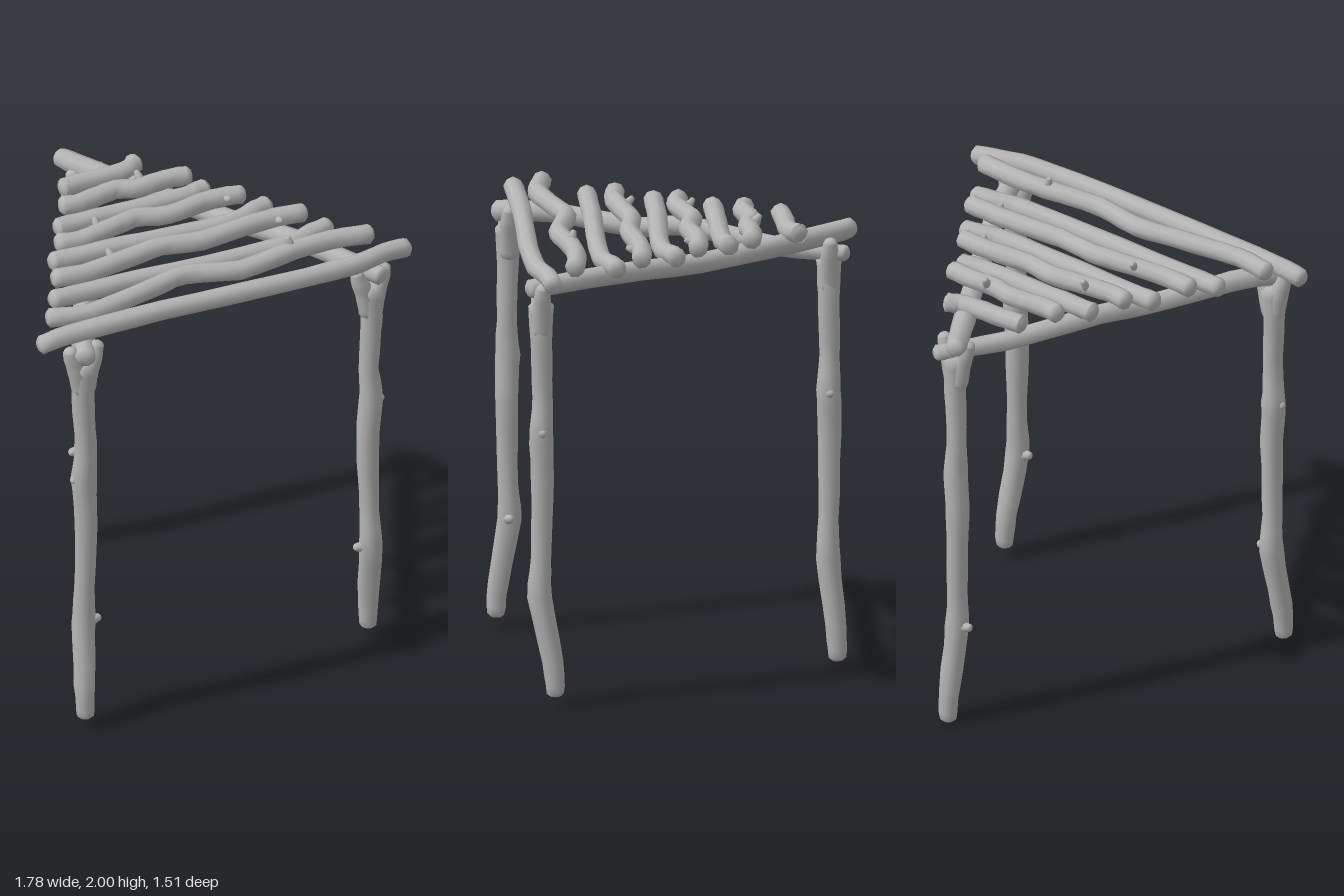
import * as THREE from 'three';

const SIDES = 9;
const wood = new THREE.MeshStandardMaterial({ color: 0xb4b4b4 });
wood.name = 'bare wood grey';

// seeded noise for slight irregularity of the bark
let seed = 7;
const rand = () => (seed = (seed * 16807) % 2147483647) / 2147483647;

// A knobbly branch through points [x, y, z, radius], with rounded ends
function branch(name, pts) {
  const curve = new THREE.CatmullRomCurve3(
    pts.map(p => new THREE.Vector3(p[0], p[1], p[2])), false, 'catmullrom', 0.35);
  const last = pts.length - 1, steps = last * 3;
  const whole = curve.getPoint(1).sub(curve.getPoint(0)).normalize();
  const ref = Math.abs(whole.y) > 0.7 ? new THREE.Vector3(0, 0, 1) : new THREE.Vector3(0, 1, 0);
  const pos = [], index = [];
  const ring = (c, t, r) => {
    const n = ref.clone().addScaledVector(t, -ref.dot(t)).normalize();
    const b = t.clone().cross(n);
    for (let j = 0; j < SIDES; j++) {
      const a = j / SIDES * Math.PI * 2, k = r * (0.95 + 0.1 * rand());
      const p = c.clone().addScaledVector(n, Math.cos(a) * k).addScaledVector(b, Math.sin(a) * k);
      pos.push(p.x, p.y, p.z);
    }
  };
  const r0 = pts[0][3], r1 = pts[last][3];
  const t0 = curve.getTangent(0), t1 = curve.getTangent(1);
  const c0 = curve.getPoint(0), c1 = curve.getPoint(1);
  ring(c0, t0, r0 * 0.62);
  for (let i = 0; i <= steps; i++) {
    const u = i / steps, f = u * last, k = Math.min(Math.floor(f), last - 1);
    const c = curve.getPoint(u);
    if (i === 0) c.addScaledVector(t0, r0 * 0.35);
    if (i === steps) c.addScaledVector(t1, -r1 * 0.35);
    ring(c, curve.getTangent(u), THREE.MathUtils.lerp(pts[k][3], pts[k + 1][3], f - k));
  }
  ring(c1, t1, r1 * 0.62);
  const rings = steps + 3, s = rings * SIDES, e = s + 1;
  pos.push(c0.x, c0.y, c0.z, c1.x, c1.y, c1.z);
  for (let j = 0; j < SIDES; j++) {
    const m = (j + 1) % SIDES, top = (rings - 1) * SIDES;
    for (let i = 0; i < rings - 1; i++) {
      const a = i * SIDES + j, b = i * SIDES + m;
      index.push(a, b, a + SIDES, b, b + SIDES, a + SIDES);
    }
    index.push(s, m, j, e, top + j, top + m);
  }
  const g = new THREE.BufferGeometry();
  g.setAttribute('position', new THREE.Float32BufferAttribute(pos, 3));
  g.setIndex(index);
  g.computeVertexNormals();
  const mesh = new THREE.Mesh(g, wood);
  mesh.name = name;
  return mesh;
}

// crooked trunk shared by all legs: [height, sideways, forwards, radius]
const TRUNK = [
  [1.77, 0, 0, 0.055], [1.6, -0.005, 0, 0.047], [1.35, 0.005, 0.005, 0.043],
  [1.2, -0.003, 0, 0.053], [1.0, 0.01, 0.005, 0.05], [0.65, 0.005, 0, 0.043],
  [0.48, 0.003, -0.005, 0.052], [0.2, -0.015, 0.04, 0.046], [0.05, -0.018, 0.05, 0.038]];

// Forked leg: trunk, two prongs and two broken-off twig stubs
function leg(name, x, z, mirror, swing, drop) {
  const g = new THREE.Group();
  g.name = name;
  g.add(branch(name + 'Trunk', TRUNK.map(([y, dx, dz, r]) =>
    [x + mirror * dx, y - drop * (1.77 - y), z + swing * dz, r])));
  for (const s of [-1, 1]) {
    g.add(branch(name + 'Prong', [
      [x + s * 0.01, 1.62, z, 0.04], [x + s * 0.03, 1.73, z, 0.042],
      [x + s * 0.055, 1.80, z, 0.036], [x + s * 0.068, 1.855, z, 0.027]]));
  }
  const inner = x > 0 || name === 'backLeg' ? -1 : 1;
  for (const [y, side, reach] of [[0.48, inner, 0.08], [1.19, -inner, 0.06]]) {
    g.add(branch(name + 'Stub', [
      [x, y - drop, z, 0.036], [x + side * reach, y + 0.015 - drop, z, 0.016]]));
  }
  return g;
}

// sideways wander of a slat: [position along it, offset]
const BOWED = [[0, -0.025], [0.09, -0.02], [0.33, -0.005], [0.64, 0.025], [0.84, 0.028], [0.93, -0.005], [1, -0.02]];
const WAVY = [[0, -0.01], [0.12, 0.03], [0.32, -0.015], [0.44, -0.045], [0.59, 0.015], [0.77, -0.015], [0.88, -0.018], [1, 0.01]];

// Slat from x0 to x1; amount scales the wander, skew turns it, droop lowers the tips
function slat(name, x0, x1, y, z, shape, amount, skew, droop) {
  return branch(name, shape.map(([u, d]) => [
    THREE.MathUtils.lerp(x0, x1, u),
    y - 0.2 * amount * d - droop * Math.abs(2 * u - 1) ** 6,
    z + amount * d + skew * (u - 0.5), 0.042]));
}

export function createModel() {
  const model = new THREE.Group();
  model.name = 'stickTable';

  // legs
  model.add(leg('frontRightLeg', -0.695, 0.67, 1, 1, 0));
  model.add(leg('frontLeftLeg', 0.68, 0.67, -1, -1.2, 0));
  model.add(leg('backLeg', 0, -0.625, -1, -0.7, 0.026));

  // the two side rails meeting over the back leg
  model.add(branch('leftRail', [
    [-0.08, 1.875, -0.74, 0.04], [-0.03, 1.86, -0.65, 0.047], [0.08, 1.85, -0.46, 0.048],
    [0.32, 1.83, -0.05, 0.045], [0.53, 1.845, 0.34, 0.045], [0.71, 1.83, 0.73, 0.042]]));
  model.add(branch('rightRail', [
    [0.06, 1.79, -0.70, 0.035], [-0.11, 1.785, -0.42, 0.043], [-0.33, 1.83, -0.06, 0.043],
    [-0.41, 1.81, 0.14, 0.043], [-0.61, 1.835, 0.50, 0.045], [-0.72, 1.82, 0.73, 0.045]]));

  // slats, front to back
  model.add(slat('slat1', -0.89, 0.88, 1.905, 0.655, BOWED, 1, 0, 0.028));
  model.add(slat('slat2', -0.79, 0.76, 1.93, 0.525, WAVY, 1, 0, 0));
  model.add(slat('slat3', -0.68, 0.66, 1.89, 0.36, BOWED, 0.9, 0, 0));
  model.add(slat('slat4', -0.61, 0.60, 1.92, 0.228, WAVY, 0.5, 0, 0));
  model.add(slat('slat5', -0.54, 0.51, 1.895, 0.09, BOWED, 0.9, 0, 0));
  model.add(slat('slat6', -0.46, 0.44, 1.92, -0.027, WAVY, 0.55, 0, 0));
  model.add(slat('slat7', -0.39, 0.34, 1.90, -0.16, BOWED, 0.35, 0, 0));
  model.add(slat('slat8', -0.30, 0.31, 1.92, -0.28, WAVY, 0.4, 0.03, 0));
  model.add(slat('slat9', -0.22, 0.17, 1.905, -0.45, BOWED, 0.6, -0.05, 0));

  // twig stubs on the slats: base, tip
  const twigs = [
    [[0.39, 1.94, 0.51], [0.37, 2.0, 0.50]], [[-0.31, 1.92, 0.22], [-0.32, 1.965, 0.175]],
    [[0.46, 1.92, 0.23], [0.455, 1.94, 0.285]], [[-0.25, 1.92, -0.04], [-0.25, 1.97, -0.075]],
    [[0.345, 1.92, -0.03], [0.345, 1.94, 0.025]], [[0.09, 1.93, -0.29], [0.08, 1.975, -0.325]],
  ];
  for (const [a, b] of twigs) model.add(branch('slatStub', [[...a, 0.026], [...b, 0.012]]));

  return model;
}
